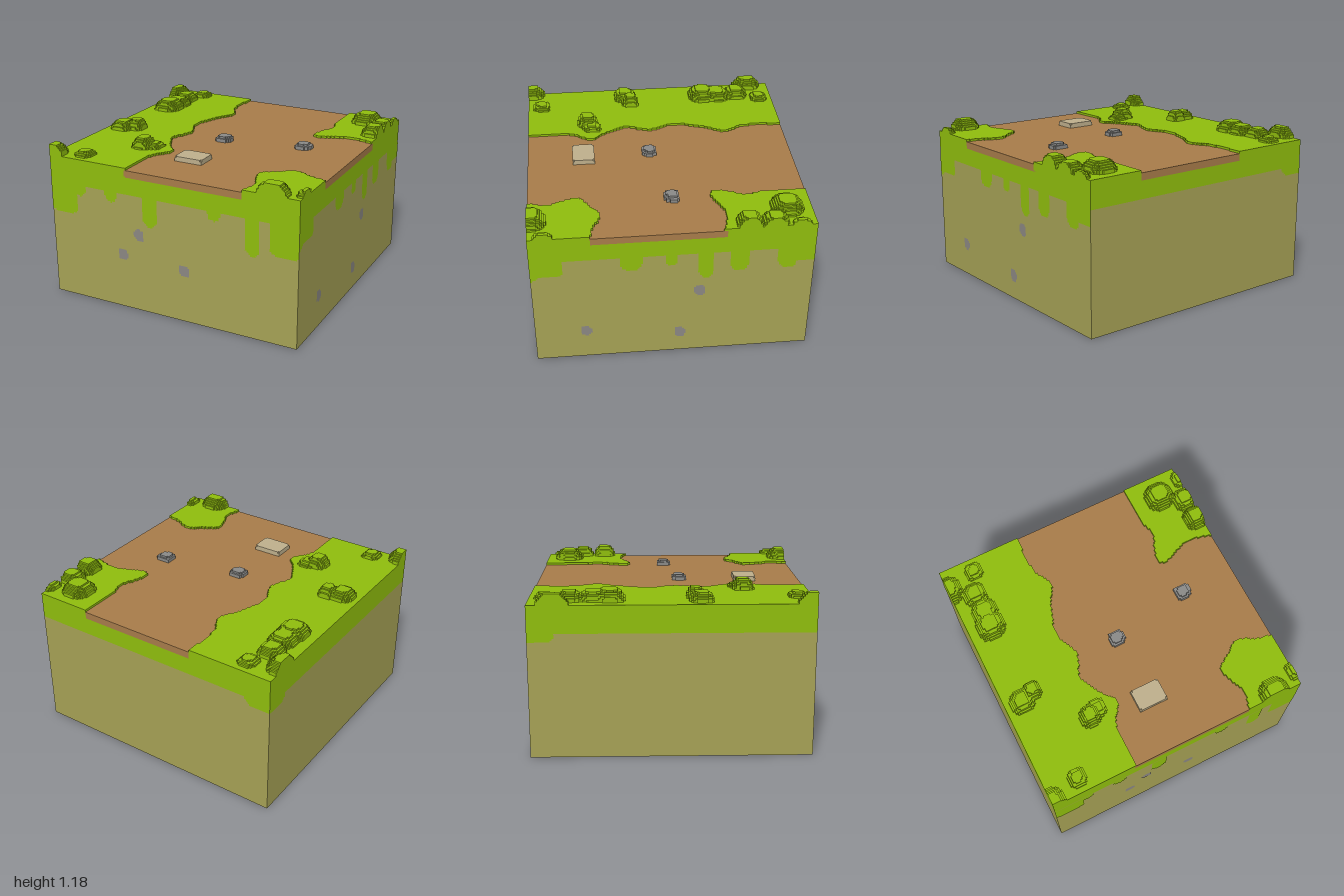
import * as THREE from 'three';

const U = 1 / 75; // grid step of the blocky outlines
const mat = (name, color) => {
  const m = new THREE.MeshStandardMaterial({ color });
  m.name = name;
  return m;
};

// Closed outline turned into grid-aligned stairs, kept within the tile
function steppedShape(points) {
  const snap = v => Math.round(Math.max(-1, Math.min(1, v)) / U);
  const out = [];
  const add = (x, y) => {
    const n = out.length;
    if (n && out[n - 1][0] === x && out[n - 1][1] === y) return;
    if (n > 1) {
      const [a, b] = [out[n - 2], out[n - 1]];
      if ((a[0] === b[0] && b[0] === x) || (a[1] === b[1] && b[1] === y)) out.pop();
    }
    out.push([x, y]);
  };
  points.forEach(([x0, y0], i) => {
    const [x1, y1] = points[(i + 1) % points.length];
    const n = Math.max(1, Math.ceil(Math.hypot(x1 - x0, y1 - y0) / U));
    for (let k = 0; k <= n; k++) {
      const x = snap(x0 + (x1 - x0) * k / n), y = snap(y0 + (y1 - y0) * k / n);
      const last = out[out.length - 1];
      if (last && last[0] !== x && last[1] !== y) add(x, last[1]);
      add(x, y);
    }
  });
  const end = out[out.length - 1];
  if (end[0] === out[0][0] && end[1] === out[0][1]) out.pop();
  return new THREE.Shape(out.map(([x, y]) => new THREE.Vector2(x * U, y * U)));
}

// Horizontal layer from an (x, z) outline between two heights
function layer(points, y0, y1) {
  const shape = steppedShape(points.map(([x, z]) => [x, -z]));
  return new THREE.ExtrudeGeometry(shape, { depth: y1 - y0, bevelEnabled: false })
    .rotateX(-Math.PI / 2).translate(0, y0, 0);
}

// Rounded square around (x, z)
const roundOutline = (x, z, rx, rz = rx, n = 12) => Array.from({ length: n }, (_, i) => {
  const a = (i + 0.5) / n * Math.PI * 2;
  const sq = v => Math.sign(v) * Math.abs(v) ** 0.75;
  return [x + rx * sq(Math.cos(a)), z + rz * sq(Math.sin(a))];
});

// Hanging tongue from a to b with rounded lower corners
function dripOutline(a, b, bottom) {
  const r = Math.min((b - a) / 2, 0.06, 0.9 - bottom);
  const arc = (cx, from) => [0, 1, 2, 3].map(i => {
    const t = from + i * Math.PI / 6;
    return [cx + r * Math.cos(t), bottom + r + r * Math.sin(t)];
  });
  return [[a, 0.91], ...arc(a + r, Math.PI), ...arc(b - r, Math.PI * 1.5), [b, 0.91]];
}

// Wavy lawn edge through a few points
const wavy = pts => new THREE.SplineCurve(pts.map(p => new THREE.Vector2(...p)))
  .getPoints(60).map(p => [p.x, p.y]);

export function createModel() {
  const model = new THREE.Group();
  model.name = 'terrainTile';
  const grass = mat('grass green', 0x90be0d);
  const earth = mat('olive earth', 0xa6a255);
  const dirt = mat('path brown', 0xa87c4a);
  const stone = mat('stone grey', 0x8a8a88);
  const pebble = mat('pebble grey', 0x8b8783);
  const slab = mat('slab beige', 0xbfb08c);
  const add = (name, geo, m, parent = model) => {
    const mesh = new THREE.Mesh(geo, m);
    mesh.name = name;
    parent.add(mesh);
  };
  const group = name => {
    const g = new THREE.Group();
    g.name = name;
    model.add(g);
    return g;
  };

  // Ground block and the turf band on top of it
  add('earthBlock', new THREE.BoxGeometry(2, 0.9, 2).translate(0, 0.45, 0), earth);
  add('turfBand', new THREE.BoxGeometry(2, 0.13, 2).translate(0, 0.965, 0), grass);

  // Forked path, tucked under the lawns
  add('path', layer([
    [-0.35, -1], [0.57, -1], [0.65, -0.9], [0.65, -0.45], [0.97, -0.45], [1, -0.35],
    [1, 0.57], [0.65, 0.65], [0.65, 0.95], [0.57, 1], [-0.35, 1], [-0.46, 0.9], [-0.46, -0.9],
  ], 1.03, 1.083), dirt);

  // Lawns with wavy edges
  const leftEdge = wavy([
    [-0.35, -1], [-0.35, -0.7], [-0.28, -0.54], [-0.36, -0.36], [-0.42, -0.14], [-0.35, 0.05],
    [-0.41, 0.23], [-0.34, 0.39], [-0.25, 0.52], [-0.34, 0.68], [-0.35, 1],
  ]);
  const backRightEdge = wavy([
    [0.57, -1], [0.57, -0.7], [0.6, -0.56], [0.54, -0.4], [0.54, -0.32], [0.62, -0.32],
    [0.8, -0.39], [1, -0.35],
  ]);
  const frontRightEdge = wavy([
    [1, 0.57], [0.9, 0.55], [0.75, 0.49], [0.64, 0.56], [0.54, 0.63], [0.54, 0.7], [0.6, 0.87],
    [0.57, 1],
  ]);
  add('leftLawn', layer([...leftEdge, [-1, 1], [-1, -1]], 1.03, 1.1), grass);
  add('backRightLawn', layer([...backRightEdge, [1, -1]], 1.03, 1.1), grass);
  add('frontRightLawn', layer([...frontRightEdge, [1, 1]], 1.03, 1.1), grass);

  // Terraced bushes: x, z, radius, number of layers
  const bushes = [
    [-0.83, -0.71, 0.09, 5], [-0.82, -0.55, 0.1, 5], [-0.83, -0.43, 0.11, 6],
    [-0.87, 0.21, 0.09, 5], [-0.77, 0.17, 0.07, 6], [-0.48, 0.53, 0.08, 6], [-0.41, 0.5, 0.07, 3],
    [0.95, -0.71, 0.09, 5], [0.95, -0.53, 0.09, 6],
  ];
  // The corner clumps repeat at the back and the front
  for (const x of [-1, 0.79]) bushes.push([x, -0.82, 0.113, 6], [x, 0.98, 0.113, 6]);
  for (const x of [-0.76, 1.01]) bushes.push([x, -0.89, 0.07, 3], [x, 0.89, 0.07, 3]);
  for (const [x, z, r, n] of bushes) {
    const bush = group('bush');
    for (let i = 0; i < n; i++) {
      const ri = r * Math.sqrt(1 - 0.68 * (i / (n - 1)) ** 1.5);
      add('bushLayer', layer(roundOutline(x, z, ri), 1.1 + i * U, 1.1 + (i + 1) * U), grass, bush);
    }
  }

  // Two stepped stones and a flat slab with notched corners on the path
  for (const [x, z] of [[-0.035, 0.08], [0.575, -0.03]]) {
    const g = group('pathStone');
    add('stoneBase', layer(roundOutline(x, z, 0.063, 0.057), 1.08, 1.11), stone, g);
    add('stoneTop', layer(roundOutline(x, z, 0.045, 0.042), 1.11, 1.125), stone, g);
  }
  for (const [w, h, d, y] of [[0.22, 0.03, 0.165, 1.093], [0.22, 0.012, 0.139, 1.114], [0.194, 0.012, 0.165, 1.114]]) {
    add('slab', new THREE.BoxGeometry(w, h, d).translate(-0.03, y, 0.58), slab);
  }

  // Turf drips (from, to, bottom) and pebbles on a side face, as seen from outside
  const decorate = (name, turn, drips, pebbles = []) => {
    const face = group(name);
    face.rotation.y = turn;
    const plate = pts => new THREE.ShapeGeometry(steppedShape(pts)).translate(0, 0, 1.002);
    for (const d of drips) add('turfDrip', plate(dripOutline(...d)), grass, face);
    for (const [a, y] of pebbles) add('pebble', plate(roundOutline(a, y, 0.04, 0.046)), pebble, face);
  };
  decorate('frontDetails', 0, [
    [-1.02, -0.77, 0.67], [-0.8, -0.7, 0.82], [-0.53, -0.43, 0.82], [-0.21, -0.1, 0.68],
    [0.31, 0.41, 0.83], [0.6, 0.71, 0.63], [0.78, 1.02, 0.67],
  ], [[-0.39, 0.425], [-0.25, 0.605], [0.12, 0.4]]);
  decorate('rightDetails', Math.PI / 2, [
    [-1.06, -0.94, 0.74], [-1, -0.77, 0.77], [-0.38, -0.22, 0.79], [-0.06, 0.03, 0.81],
    [0.18, 0.28, 0.68], [0.4, 0.53, 0.73], [0.74, 0.87, 0.73], [0.8, 1.03, 0.78],
  ], [[-0.63, 0.25], [0.19, 0.57], [0.05, 0.18]]);
  decorate('backDetails', Math.PI, [[0.8, 1.05, 0.84]]);
  decorate('leftDetails', -Math.PI / 2, [[-1.05, -0.81, 0.84]]);
  return model;
}
